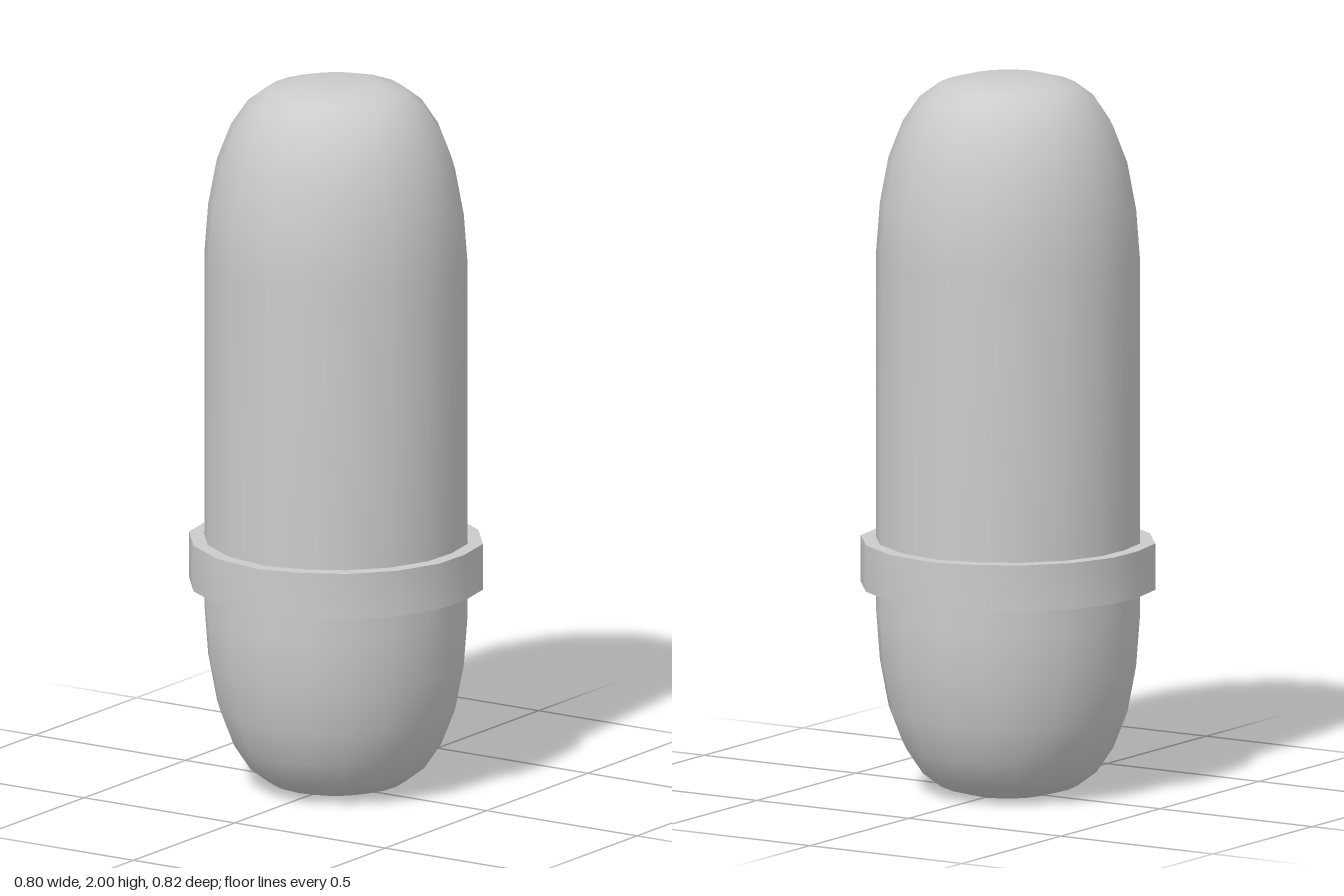
import * as THREE from 'three';
import { toCreasedNormals } from 'three/addons/utils/BufferGeometryUtils.js';

// Half of the slightly uneven 18-sided outline (x, z); the rest is its point reflection
const half = [
  [-0.02, -0.41], [0.14, -0.378], [0.277, -0.292], [0.375, -0.168], [0.4, -0.04],
  [0.396, 0.082], [0.345, 0.211], [0.251, 0.316], [0.142, 0.376],
];
const outline = [...half, ...half.map(([x, z]) => [-x, -z])];
const sides = outline.length;

// Rounded end: [distance from the tip, scale of the outline]
const dome = [[0, 0.29], [0.02, 0.47], [0.06, 0.6], [0.13, 0.715], [0.23, 0.81], [0.36, 0.87], [0.5, 0.896]];

// Closed smooth skin through scaled copies of the outline, listed bottom to top
function loft(rows) {
  const pos = [], idx = [];
  for (const [y, s] of rows) for (const [x, z] of outline) pos.push(x * s, y, z * s);
  const last = (rows.length - 1) * sides;
  const bottom = rows.length * sides, top = bottom + 1;
  pos.push(0, rows[0][0], 0, 0, rows[rows.length - 1][0], 0);
  for (let i = 0; i < sides; i++) {
    const j = (i + 1) % sides;
    for (let r = 0; r < last; r += sides) {
      idx.push(r + i, r + sides + i, r + j, r + j, r + sides + i, r + sides + j);
    }
    idx.push(bottom, i, j, top, last + j, last + i);
  }
  const geo = new THREE.BufferGeometry();
  geo.setAttribute('position', new THREE.Float32BufferAttribute(pos, 3));
  geo.setIndex(idx);
  geo.computeVertexNormals();
  return geo;
}

// Flat band following the outline, with an opening for the body
function band(inner, bottom, top) {
  const points = (s) => outline.map(([x, z]) => new THREE.Vector2(x * s, z * s));
  const shape = new THREE.Shape(points(1));
  shape.holes.push(new THREE.Path(points(inner)));
  const geo = new THREE.ExtrudeGeometry(shape, { depth: top - bottom, bevelEnabled: false });
  geo.rotateX(Math.PI / 2).translate(0, top, 0);
  return toCreasedNormals(geo, Math.PI / 5);
}

export function createModel() {
  const group = new THREE.Group();
  group.name = 'capsule';
  const material = new THREE.MeshStandardMaterial({ color: 0xcccccc });
  const add = (name, geometry) => {
    const mesh = new THREE.Mesh(geometry, material);
    mesh.name = name;
    group.add(mesh);
  };

  // Body with matching rounded ends
  const upper = dome.map(([d, s]) => [2 - d, s]).reverse();
  add('body', loft([...dome, ...upper]));

  // Collar around the lower third
  add('collar', band(0.9, 0.575, 0.705));

  return group;
}
